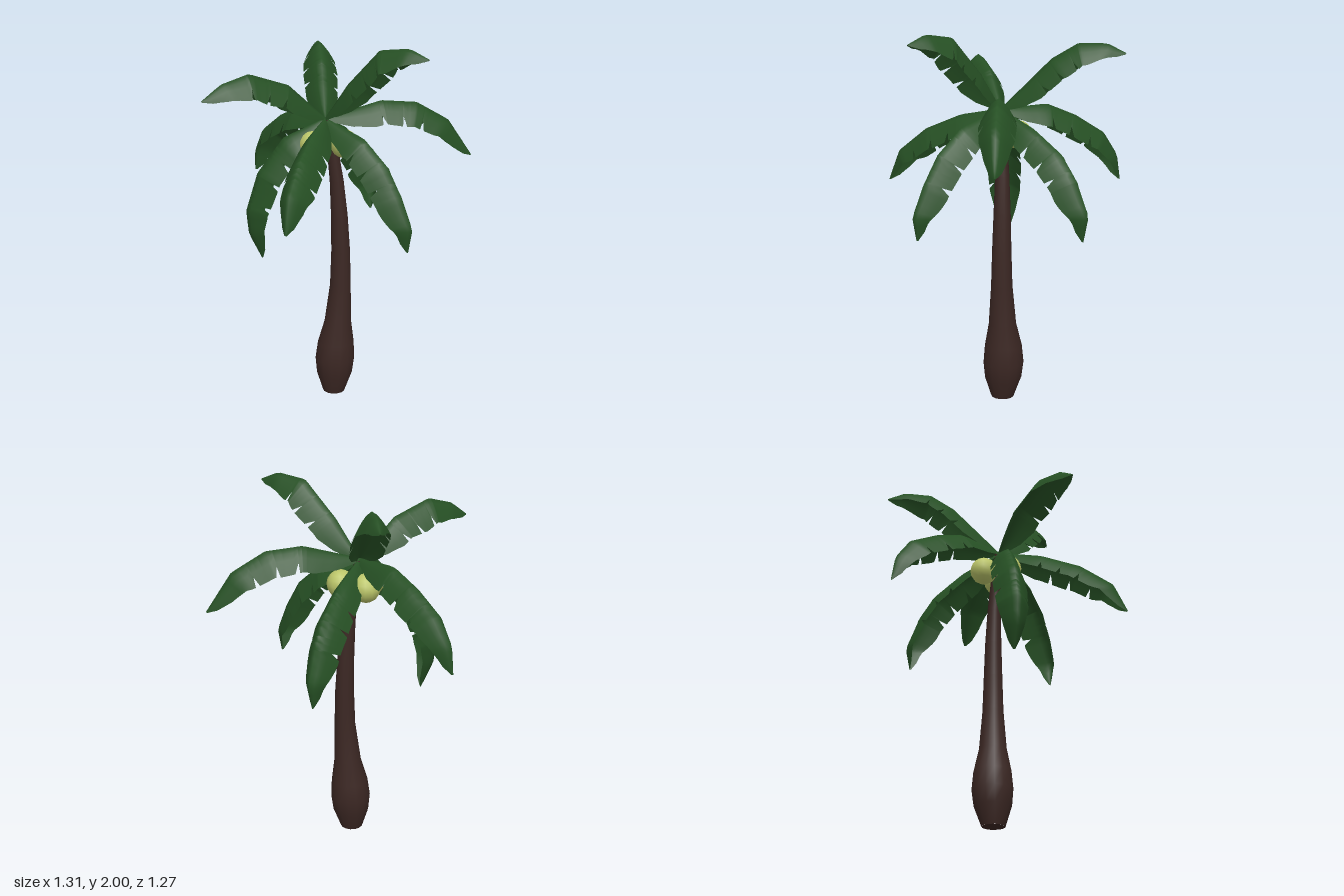
import * as THREE from 'three';
import { mergeVertices } from 'three/addons/utils/BufferGeometryUtils.js';

const CROWN = new THREE.Vector3(0.04, 1.6, -0.035);
const UP = new THREE.Vector3(0, 1, 0);

// Piecewise linear lookup in a list of [key, value] pairs
function lookup(table, key) {
  for (let i = 1; i < table.length; i++) {
    const [k0, v0] = table[i - 1], [k1, v1] = table[i];
    if (key <= k1) return v0 + (v1 - v0) * (key - k0) / (k1 - k0);
  }
  return table[table.length - 1][1];
}

// Trunk rings: [height, centre x, centre z, radius]
const TRUNK = [
  [0, 0.07, -0.085, 0.063], [0.11, 0.07, -0.09, 0.101], [0.2, 0.07, -0.093, 0.111],
  [0.3, 0.074, -0.096, 0.102], [0.43, 0.084, -0.1, 0.075], [0.65, 0.095, -0.107, 0.058],
  [0.85, 0.095, -0.107, 0.052], [1.05, 0.088, -0.102, 0.046], [1.25, 0.077, -0.09, 0.038],
  [1.42, 0.064, -0.07, 0.031], [1.59, 0.042, -0.04, 0.022],
];

function makeTrunk(material) {
  const trunk = new THREE.Group();
  trunk.name = 'trunk';
  // Open tube whose rings follow the table
  let tube = new THREE.CylinderGeometry(1, 1, 1, 14, TRUNK.length - 1, true);
  const p = tube.attributes.position;
  for (let i = 0; i < p.count; i++) {
    const [y, x, z, r] = TRUNK[Math.round((p.getY(i) + 0.5) * (TRUNK.length - 1))];
    p.setXYZ(i, x + p.getX(i) * r, y, z + p.getZ(i) * r);
  }
  tube.deleteAttribute('uv');
  tube.deleteAttribute('normal');
  tube = mergeVertices(tube);
  tube.computeVertexNormals();
  const bark = new THREE.Mesh(tube, material);
  bark.name = 'bark';
  // Flat underside
  const [y, x, z, r] = TRUNK[0];
  const base = new THREE.Mesh(new THREE.CircleGeometry(r, 14), material);
  base.name = 'trunkBase';
  base.rotation.x = Math.PI / 2;
  base.position.set(x, y, z);
  trunk.add(bark, base);
  return trunk;
}

// Half width of a leaf from base to tip
const LEAF_WIDTH = [[0, 0.015], [0.12, 0.064], [0.25, 0.092], [0.5, 0.102],
  [0.72, 0.091], [0.88, 0.06], [0.96, 0.032], [1, 0.006]];
// Slits in the two edges
const NOTCHES = { '-1': [0.36, 0.5, 0.66], '1': [0.31, 0.45, 0.59] };
const SLIT = 0.026, LIP = 0.006;
const HALF_COLUMNS = 4;

// How far the blade reaches toward its edge at t: less inside a slit
function reach(side, t) {
  let k = 1;
  for (const n of NOTCHES[side]) {
    k = Math.min(k, lookup([[0, 1], [n - LIP, 1], [n, 0.66], [n + SLIT, 1], [1, 1]], t));
  }
  return k;
}

// Rows along a leaf: even steps plus the corners of every slit
function leafRows() {
  const rows = [];
  for (let i = 0; i <= 24; i++) rows.push(i / 24);
  for (const n of [...NOTCHES['-1'], ...NOTCHES['1']]) rows.push(n - LIP, n, n + SLIT);
  rows.sort((a, b) => a - b);
  return rows.filter((t, i) => i === 0 || t - rows[i - 1] > 1e-4);
}

// Arched blade swept along an angular ridge that bends in one vertical plane
function leafGeometry(dx, dz, ridge) {
  const span = Math.hypot(dx, dz);
  const dir = new THREE.Vector3(dx / span, 0, dz / span);
  const side = dir.clone().cross(UP);
  const knots = ridge.map(([f, y]) => new THREE.Vector3(CROWN.x + dx * f, y, CROWN.z + dz * f));
  const smooth = new THREE.CatmullRomCurve3(knots, false, 'centripetal');
  const path = new THREE.CurvePath();
  for (let i = 1; i < knots.length; i++) path.add(new THREE.LineCurve3(knots[i - 1], knots[i]));
  const rows = leafRows(), columns = HALF_COLUMNS * 2 + 1;
  const positions = [], index = [];
  rows.forEach((t, i) => {
    const centre = path.getPointAt(t);
    const normal = side.clone().cross(smooth.getTangentAt(t));
    const w = lookup(LEAF_WIDTH, t);
    for (let j = 0; j < columns; j++) {
      const s = j < HALF_COLUMNS ? -1 : 1;
      const u = Math.abs(j - HALF_COLUMNS) / HALF_COLUMNS * reach(s, t);
      const v = centre.clone()
        .addScaledVector(side, s * w * 0.94 * Math.pow(u, 0.85))
        .addScaledVector(normal, -w * 1.2 * Math.pow(u, 1.25));
      positions.push(v.x, v.y, v.z);
      if (i < rows.length - 1 && j < columns - 1) {
        const a = i * columns + j, c = a + columns;
        index.push(a, a + 1, c, a + 1, c + 1, c);
      }
    }
  });
  const g = new THREE.BufferGeometry();
  g.setAttribute('position', new THREE.Float32BufferAttribute(positions, 3));
  g.setIndex(index);
  g.computeVertexNormals();
  return g;
}

// Leaves: name, horizontal reach from the crown, ridge as [fraction of reach, height]
const LEAVES = [
  ['raisedLeaf', 0.615, -0.025, [[0, 1.6], [0.23, 1.79], [0.54, 1.98], [0.82, 2], [1, 1.955]]],
  ['raisedLeaf', -0.29, 0.64, [[0, 1.6], [0.31, 1.79], [0.63, 1.863], [0.85, 1.82], [1, 1.745]]],
  ['raisedLeaf', -0.435, -0.49, [[0, 1.6], [0.41, 1.865], [0.62, 1.945], [0.85, 1.945], [1, 1.895]]],
  ['spreadLeaf', 0.555, -0.6, [[0, 1.6], [0.37, 1.685], [0.61, 1.67], [0.83, 1.57], [1, 1.37]]],
  ['spreadLeaf', 0.265, 0.67, [[0, 1.6], [0.34, 1.555], [0.65, 1.465], [0.9, 1.33], [1, 1.16]]],
  ['spreadLeaf', -0.695, -0.229, [[0, 1.6], [0.37, 1.615], [0.61, 1.545], [0.85, 1.44], [0.97, 1.31], [1, 1.17]]],
  ['droopingLeaf', 0.575, 0.02, [[0, 1.6], [0.45, 1.52], [0.72, 1.39], [0.88, 1.24], [1, 1.085], [0.96, 0.96]]],
  ['droopingLeaf', -0.08, -0.585, [[0, 1.6], [0.39, 1.51], [0.7, 1.395], [0.86, 1.275], [1, 1.095], [0.95, 0.96]]],
  ['droopingLeaf', -0.305, 0.305, [[0, 1.6], [0.52, 1.5], [0.85, 1.31], [1, 1.1], [0.97, 0.97], [0.81, 0.83]]],
];

export function createModel() {
  const model = new THREE.Group();
  model.name = 'palmTree';
  const bark = new THREE.MeshStandardMaterial({ color: 0x3b2723 });
  const green = new THREE.MeshStandardMaterial({ color: 0x265024, side: THREE.DoubleSide });
  const husk = new THREE.MeshStandardMaterial({ color: 0xbcc66a });

  model.add(makeTrunk(bark));

  // Crown of leaves
  const crown = new THREE.Group();
  crown.name = 'leafCrown';
  for (const [name, dx, dz, ridge] of LEAVES) {
    const leaf = new THREE.Mesh(leafGeometry(dx, dz, ridge), green);
    leaf.name = name;
    crown.add(leaf);
  }
  model.add(crown);

  // Coconuts under the crown
  for (const [x, z] of [[0.12, -0.095], [0.015, 0.04], [-0.035, -0.09]]) {
    const nut = new THREE.Mesh(new THREE.SphereGeometry(0.077, 12, 8), husk);
    nut.name = 'coconut';
    nut.position.set(x, 1.46, z);
    model.add(nut);
  }
  return model;
}
